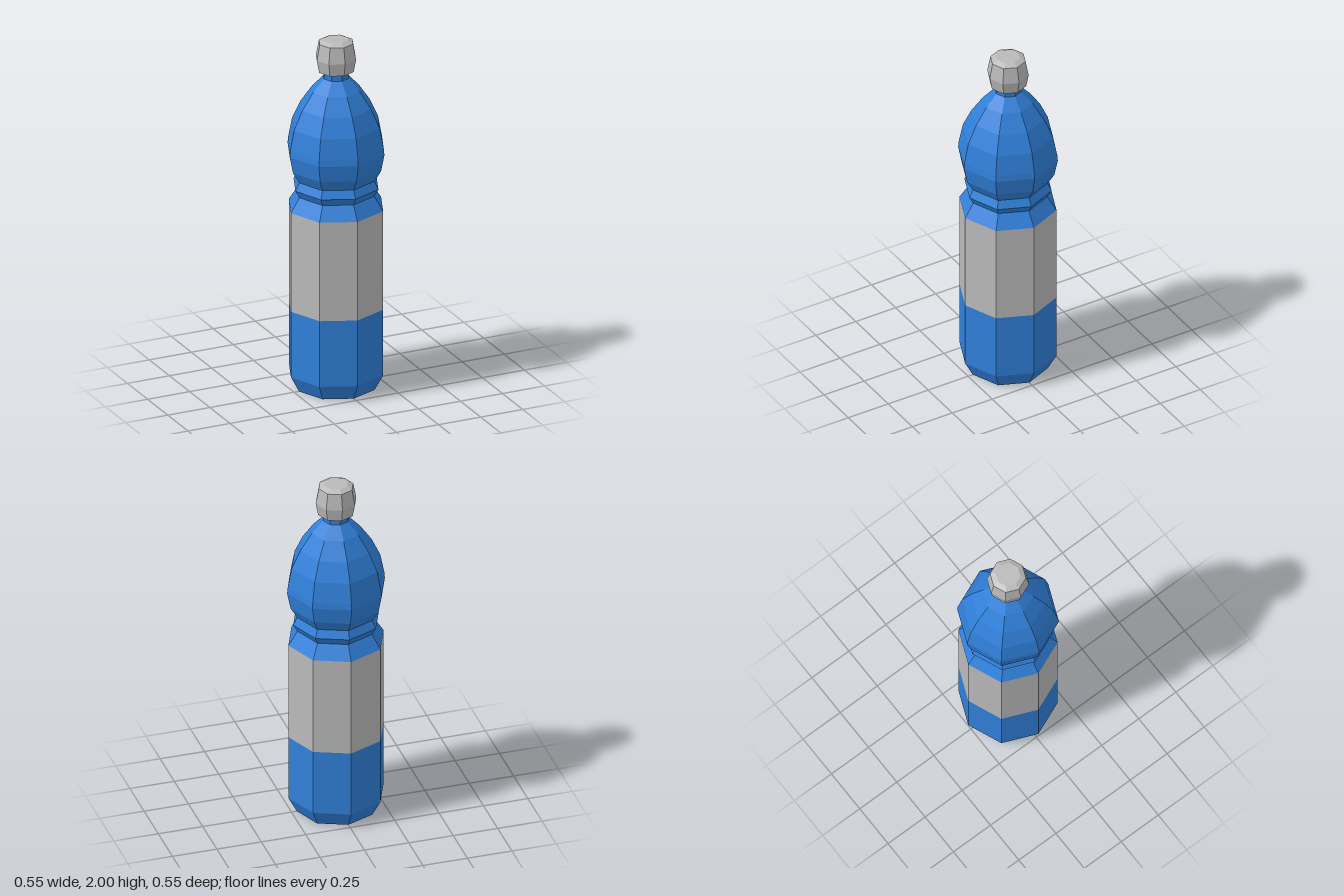
import * as THREE from 'three';

const SIDES = 8;

const blue = new THREE.MeshStandardMaterial({ color: 0x3080da, flatShading: true });
blue.name = 'bottle blue';
const grey = new THREE.MeshStandardMaterial({ color: 0xbababa, flatShading: true });
grey.name = 'light grey';

// Eight-sided turned part from [radius, height] pairs, listed bottom to top
function turned(name, profile, material) {
  const points = profile.map(([r, y]) => new THREE.Vector2(r, y));
  const mesh = new THREE.Mesh(new THREE.LatheGeometry(points, SIDES), material);
  mesh.name = name;
  return mesh;
}

export function createModel() {
  const bottle = new THREE.Group();
  bottle.name = 'bottle';

  // Recessed foot, chamfer and straight lower wall
  bottle.add(turned('lowerBody', [
    [0, 0.025], [0.165, 0.025], [0.178, 0], [0.22, 0], [0.268, 0.09], [0.268, 0.47],
  ], blue));

  // Wrapped label band
  bottle.add(turned('label', [[0.268, 0.47], [0.268, 1.04]], grey));

  // Shoulder, grip ridge, bulb and neck
  bottle.add(turned('upperBody', [
    [0.268, 1.04], [0.217, 1.12], [0.241, 1.162], [0.219, 1.207],
    [0.256, 1.27], [0.275, 1.365], [0.272, 1.40], [0.249, 1.515],
    [0.2, 1.62], [0.135, 1.715], [0.072, 1.782], [0.072, 1.83],
  ], blue));

  // Screw cap with closed underside
  bottle.add(turned('cap', [
    [0, 1.823], [0.1, 1.823], [0.114, 1.895], [0.097, 1.985], [0.067, 2], [0, 2],
  ], grey));

  return bottle;
}
